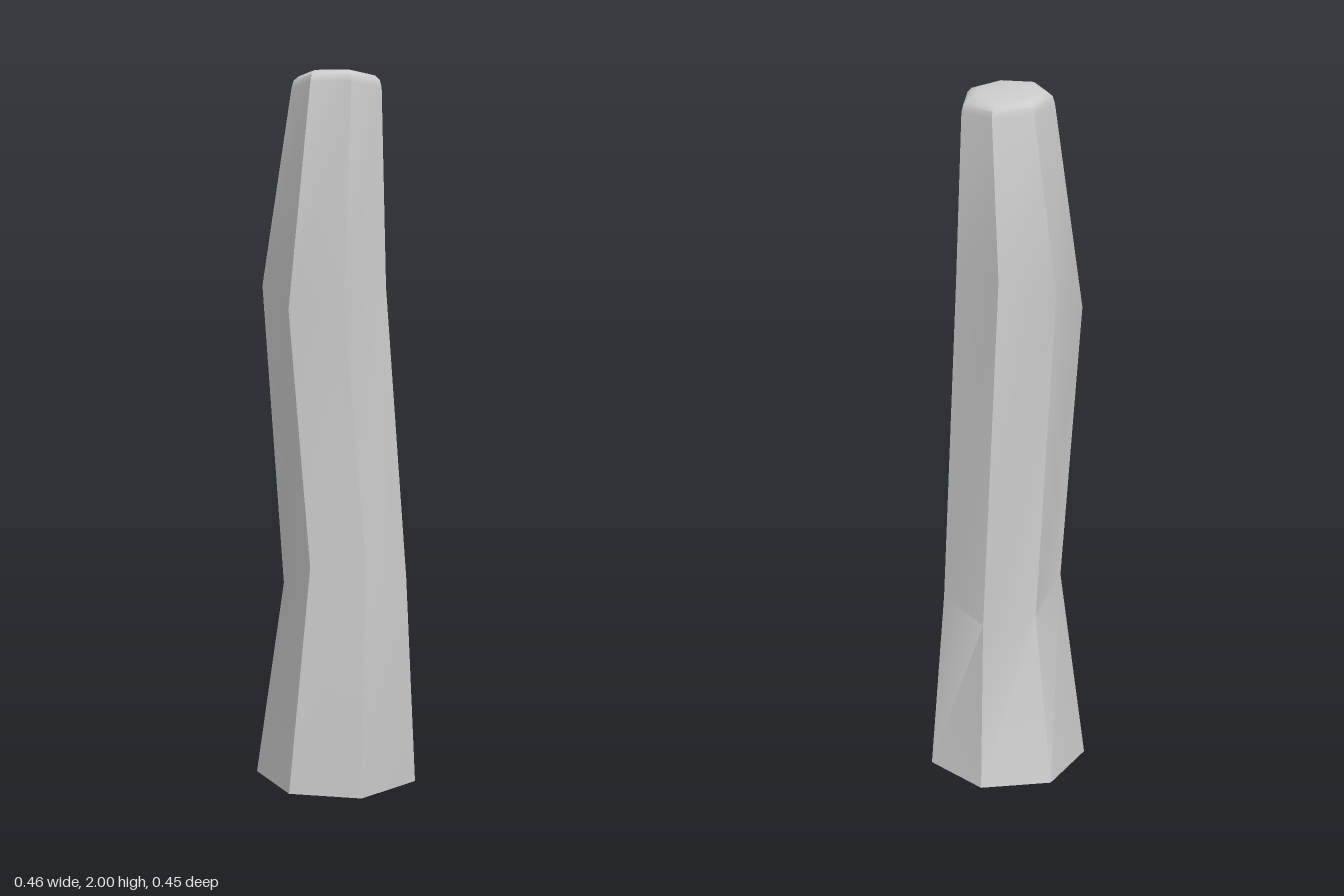
import * as THREE from 'three';
import { toCreasedNormals } from 'three/addons/utils/BufferGeometryUtils.js';

const SIDES = 7;

// Cross-sections from the ground up; tilt is the rise of each ring per unit of z
const RINGS = [
  { x: 0, y: 0, z: 0.01, rx: 0.238, rz: 0.238, tilt: 0 },
  { x: 0.03, y: 0.565, z: 0.045, rx: 0.18, rz: 0.159, tilt: 0.6, lean: 0.08 },
  { x: -0.04, y: 1.43, z: -0.017, rx: 0.18, rz: 0.163, tilt: -0.52 },
  { x: 0, y: 1.95, z: 0.015, rx: 0.128, rz: 0.126, tilt: 0.15 },
  // Rounded rim
  { x: 0, y: 1.97, z: 0.014, rx: 0.122, rz: 0.12, tilt: 0.16 },
  { x: 0, y: 1.982, z: 0.012, rx: 0.108, rz: 0.106, tilt: 0.17 },
  { x: 0, y: 1.986, z: 0.01, rx: 0.086, rz: 0.085, tilt: 0.18 },
];

function ringPoint(r, i) {
  const a = ((i + 0.5) * Math.PI * 2) / SIDES;
  const dx = Math.sin(a) * r.rx;
  const dz = Math.cos(a) * r.rz;
  return [r.x + dx, r.y + r.tilt * dz + (r.lean || 0) * dx, r.z + dz];
}

function loft(rings) {
  const positions = [];
  const tri = (a, b, c) => positions.push(...a, ...b, ...c);
  const first = rings[0];
  const last = rings[rings.length - 1];
  for (let i = 0; i < SIDES; i++) {
    // Side strip
    for (let k = 0; k < rings.length - 1; k++) {
      const a = ringPoint(rings[k], i);
      const b = ringPoint(rings[k], i + 1);
      const c = ringPoint(rings[k + 1], i + 1);
      const d = ringPoint(rings[k + 1], i);
      tri(a, b, c);
      tri(a, c, d);
    }
    // Base and top
    tri([first.x, first.y, first.z], ringPoint(first, i + 1), ringPoint(first, i));
    tri(ringPoint(last, i), ringPoint(last, i + 1), [last.x, last.y, last.z]);
  }
  const geometry = new THREE.BufferGeometry();
  geometry.setAttribute('position', new THREE.Float32BufferAttribute(positions, 3));
  geometry.computeVertexNormals();
  // Keep the lengthwise edges sharp, smooth the bends and the rim
  return toCreasedNormals(geometry, 0.78);
}

export function createModel() {
  const group = new THREE.Group();
  group.name = 'woodenPost';
  const post = new THREE.Mesh(loft(RINGS), new THREE.MeshStandardMaterial({ color: 0xcccccc }));
  post.name = 'bentPost';
  group.add(post);
  return group;
}
